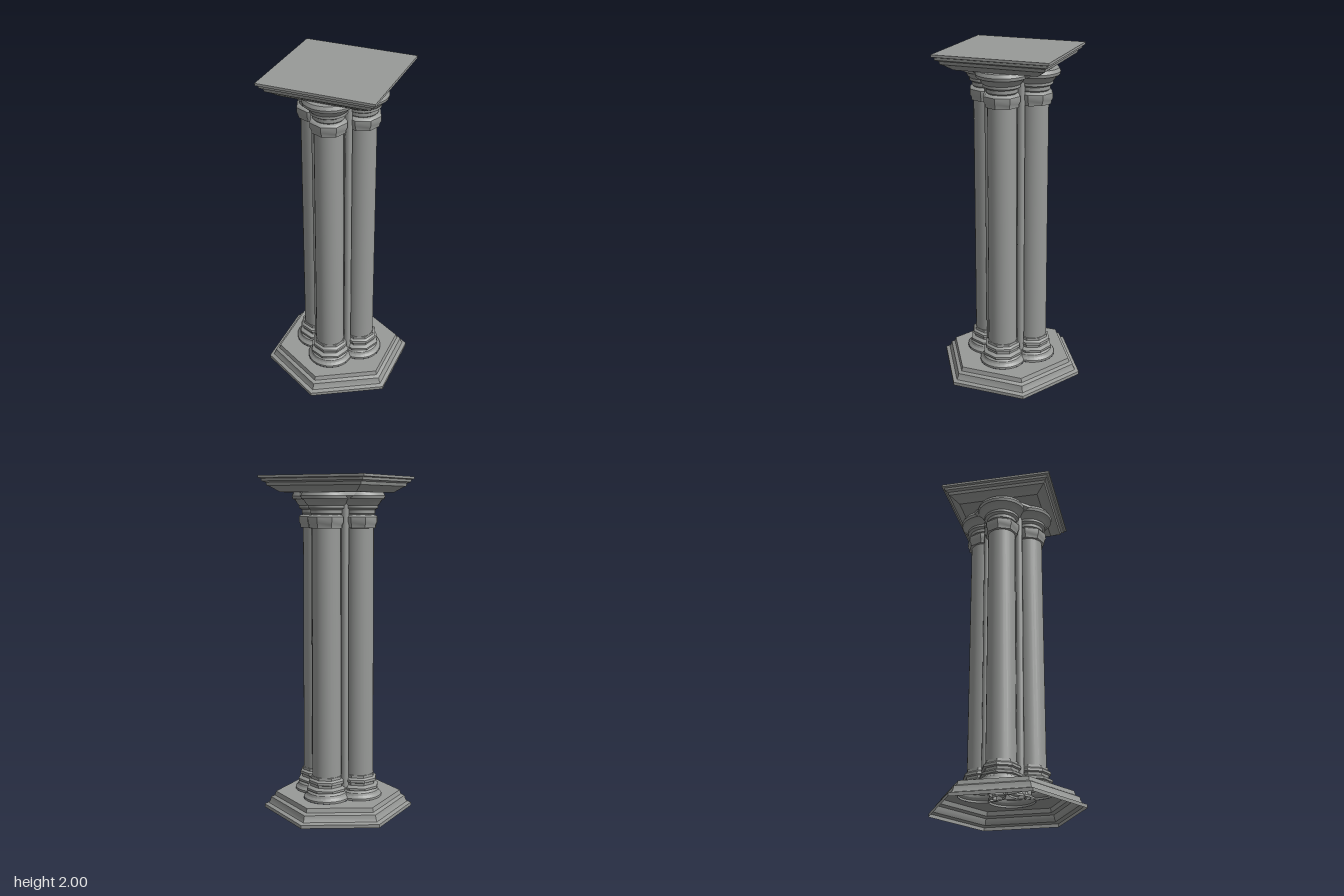
import * as THREE from 'three';
import { toCreasedNormals } from 'three/addons/utils/BufferGeometryUtils.js';

const stone = new THREE.MeshStandardMaterial({ color: 0x989a98, side: THREE.DoubleSide });
stone.name = 'grey stone';

const OFFSET = 0.142; // distance of each shaft from the middle
const FOOT = 0.137;   // radius of each shaft's foot

// Turned moulding from [radius, height] pairs; few sides give a faceted ring
function turned(name, sides, profile) {
  const points = profile.map(([r, y]) => new THREE.Vector2(r, y));
  const mesh = new THREE.Mesh(toCreasedNormals(new THREE.LatheGeometry(points, sides), 0.6), stone);
  mesh.name = name;
  return mesh;
}

// Hexagonal floor with a four-lobed opening under the shafts
function floorPlate(radius, y) {
  const hex = [];
  for (let i = 0; i < 6; i++) {
    const a = Math.PI / 2 + (i * Math.PI) / 3;
    hex.push(new THREE.Vector2(radius * Math.cos(a), radius * Math.sin(a)));
  }
  const shape = new THREE.Shape(hex);
  const t = (OFFSET + Math.sqrt(2 * FOOT * FOOT - OFFSET * OFFSET)) / 2;
  const reach = Math.atan2(t, t - OFFSET);
  const hole = new THREE.Path();
  for (let i = 0; i < 4; i++) {
    const a = (i * Math.PI) / 2;
    hole.absarc(OFFSET * Math.cos(a), OFFSET * Math.sin(a), FOOT, a - reach, a + reach, false);
  }
  shape.holes.push(hole);
  const geometry = new THREE.ShapeGeometry(shape, 14);
  geometry.rotateX(-Math.PI / 2);
  const mesh = new THREE.Mesh(geometry, stone);
  mesh.name = 'plinthTop';
  mesh.position.y = y;
  return mesh;
}

// One shaft with its base and capital mouldings
function column() {
  const group = new THREE.Group();
  group.name = 'column';
  group.add(
    turned('foot', 28, [
      [FOOT, 0.1], [FOOT, 0.112], [0.122, 0.125], [0.118, 0.14], [0.105, 0.15], [0.1, 0.16],
    ]),
    turned('baseRing', 8, [
      [0.1, 0.15], [0.122, 0.155], [0.122, 0.168], [0.1, 0.18], [0.1, 0.195],
      [0.112, 0.2], [0.11, 0.215], [0.096, 0.225], [0.094, 0.24], [0.083, 0.242],
    ]),
    turned('shaft', 28, [[0.087, 0.14], [0.086, 0.24], [0.082, 1.85]]),
    turned('neckRing', 8, [
      [0.08, 1.7], [0.1, 1.702], [0.102, 1.72], [0.11, 1.735], [0.11, 1.765],
      [0.1, 1.775], [0.08, 1.78],
    ]),
    turned('capital', 28, [
      [0.082, 1.775], [0.09, 1.785], [0.09, 1.805], [0.106, 1.815], [0.106, 1.83],
      [0.116, 1.84], [0.128, 1.86], [0.144, 1.868], [0.148, 1.885], [0.138, 1.905], [0, 1.905],
    ]),
  );
  return group;
}

export function createModel() {
  const model = new THREE.Group();
  model.name = 'clusteredPillar';

  // Hollow stepped plinth
  model.add(turned('plinth', 6, [
    [0.45, 0], [0.45, 0.02], [0.425, 0.028], [0.415, 0.045], [0.41, 0.065], [0.388, 0.075], [0.38, 0.1],
  ]));
  model.add(floorPlate(0.38, 0.1));

  // Four shafts, with a slim colonnette in each corner between them
  for (let i = 0; i < 4; i++) {
    const quarter = new THREE.Group();
    quarter.name = 'quarter';
    quarter.rotation.y = (i * Math.PI) / 2;
    const shaft = column();
    shaft.position.z = OFFSET;
    const colonnette = new THREE.Mesh(new THREE.CylinderGeometry(0.021, 0.021, 1.77, 10, 1, true), stone);
    colonnette.name = 'colonnette';
    colonnette.position.set(0.1, 0.985, 0.1);
    quarter.add(shaft, colonnette);
    model.add(quarter);
  }

  // Square core behind the shafts
  const core = turned('core', 4, [[0.135, 0.1], [0.135, 1.9]]);
  core.rotation.y = Math.PI / 4;
  model.add(core);

  // Plate tying the capitals together
  const tie = turned('capitalPlate', 8, [[0, 1.865], [0.22, 1.865], [0.245, 1.885], [0.24, 1.91]]);
  tie.rotation.y = Math.PI / 8;
  model.add(tie);

  // Stepped square slab on top
  const slab = turned('topSlab', 4, [
    [0, 1.905], [0.245, 1.905], [0.265, 1.92], [0.285, 1.935], [0.3, 1.942], [0.305, 1.96],
    [0.322, 1.968], [0.324, 1.982], [0.337, 1.986], [0.337, 2], [0, 2],
  ].map(([half, y]) => [half * Math.SQRT2, y]));
  slab.rotation.y = Math.PI / 4;
  model.add(slab);

  return model;
}
